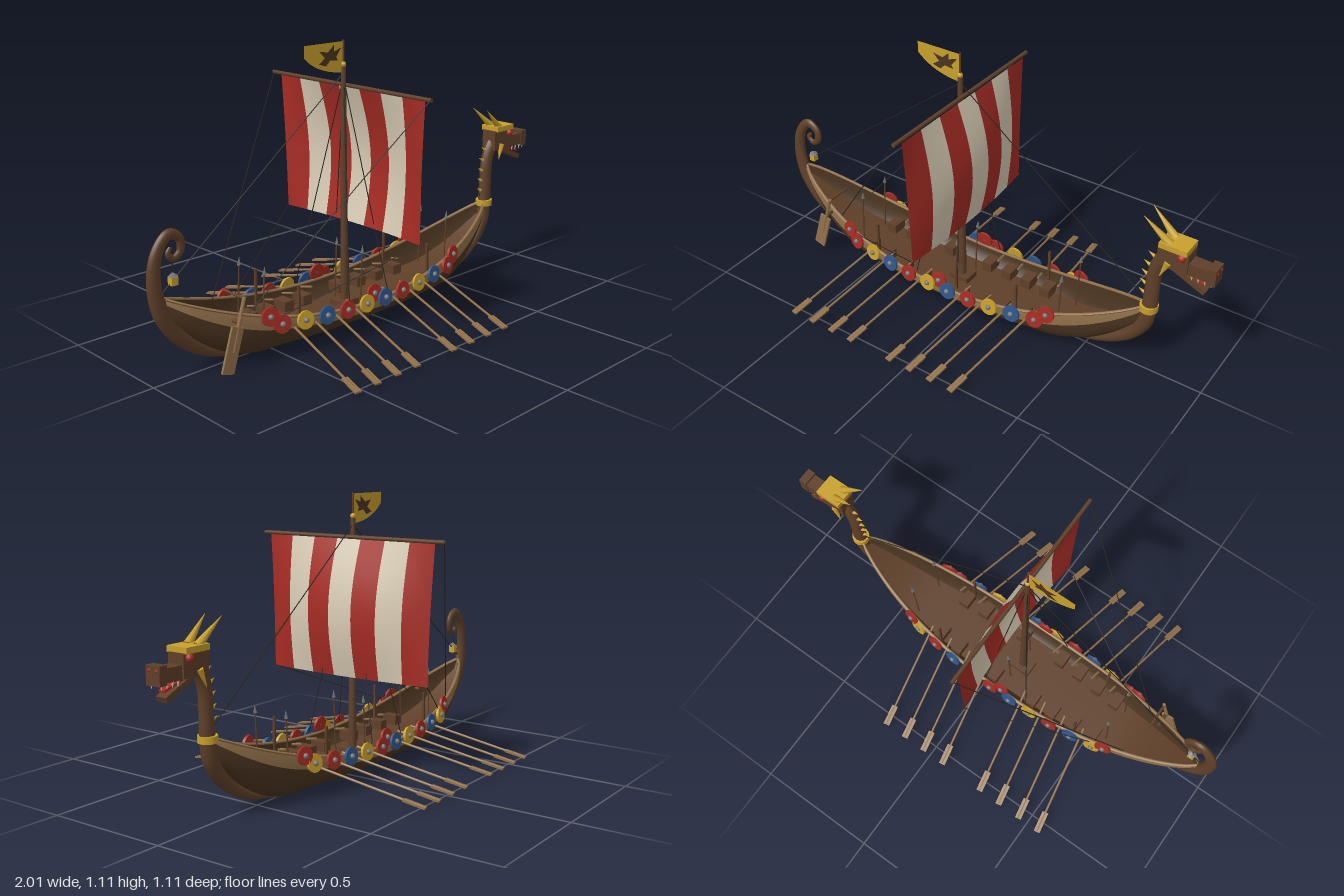
import * as THREE from 'three';

const mat = (name, color) => Object.assign(
  new THREE.MeshStandardMaterial({ color, side: THREE.DoubleSide }), { name });
const M = {
  dark: mat('dark hull wood', 0x4a3420), wood: mat('brown wood', 0x5f4029),
  light: mat('light wood', 0x92714a), red: mat('red paint', 0xa62c24),
  cream: mat('cream cloth', 0xd8ccb4), gold: mat('gold', 0xc9a02c),
  blue: mat('blue paint', 0x2f568c), metal: mat('grey metal', 0x77777a),
  rope: mat('dark rope', 0x2b2420),
};
const V = (x, y, z = 0) => new THREE.Vector3(x, y, z);

// Hull lines: sheer height, keel height, half beam
const MID = -0.1, HALF = 0.84;
const sheer = x => 0.12 + 0.27 * (x - MID) ** 2;
const keelY = x => 0.012 + 0.24 * (Math.max(0, Math.abs(x - MID) - 0.45) / 0.39) ** 2;
const beam = x => 0.008 + 0.158 * Math.max(0, 1 - Math.abs((x - MID) / HALF) ** 2.3) ** 0.8;
const hullPoint = (x, s, side, out = 0) => {
  const a = s * Math.PI / 2;
  return [x, keelY(x) + (sheer(x) - keelY(x)) * (1 - Math.cos(a)) - out * Math.cos(a) * 0.5,
    side * (beam(x) * Math.sin(a) + out)];
};

// Surface through a grid of points fn(u, v)
function grid(fn, nu, nv) {
  const pos = [], idx = [];
  for (let i = 0; i <= nu; i++) for (let j = 0; j <= nv; j++) {
    pos.push(...fn(i / nu, j / nv));
    if (i < nu && j < nv) {
      const a = i * (nv + 1) + j, b = a + nv + 1;
      idx.push(a, b, a + 1, b, b + 1, a + 1);
    }
  }
  const g = new THREE.BufferGeometry();
  g.setAttribute('position', new THREE.Float32BufferAttribute(pos, 3));
  g.setIndex(idx);
  g.computeVertexNormals();
  return g;
}

// Tapered sweep along a curve in the xy plane
function sweep(points, radii, zScale = 1, n = 40) {
  const curve = new THREE.CatmullRomCurve3(points.map(p => V(p[0], p[1])));
  return grid((u, v) => {
    const p = curve.getPoint(u), t = curve.getTangent(u);
    const f = u * (radii.length - 1), i = Math.min(Math.floor(f), radii.length - 2);
    const r = THREE.MathUtils.lerp(radii[i], radii[i + 1], f - i), a = -v * Math.PI * 2;
    return [p.x - t.y * r * Math.cos(a), p.y + t.x * r * Math.cos(a), r * zScale * Math.sin(a)];
  }, n, 12);
}

export function createModel() {
  const model = new THREE.Group();
  model.name = 'longship';
  const add = (name, geo, m, x = 0, y = 0, z = 0, parent = model) => {
    const mesh = new THREE.Mesh(geo, m);
    mesh.name = name;
    mesh.position.set(x, y, z);
    parent.add(mesh);
    return mesh;
  };
  const box = (name, w, h, d, m, x, y, z, parent) =>
    add(name, new THREE.BoxGeometry(w, h, d), m, x, y, z, parent);
  // Round bar from a to b
  const bar = (name, a, b, r1, r2, m, sides = 8) => {
    const mesh = add(name, new THREE.CylinderGeometry(r2, r1, a.distanceTo(b), sides), m);
    mesh.position.copy(a).lerp(b, 0.5);
    mesh.quaternion.setFromUnitVectors(V(0, 1), b.clone().sub(a).normalize());
    return mesh;
  };
  const rope = (a, b) => bar('rope', a, b, 0.002, 0.002, M.rope, 5);
  const along = u => MID - HALF + 2 * HALF * u;

  // Overlapping hull strakes, the top one lighter, with a rail
  for (const side of [1, -1]) {
    for (let j = 0; j < 5; j++)
      add('hullStrake', grid((u, v) => hullPoint(along(u), (j + v) / 5, side, 0.006 * (1 - v)), 48, 3),
        j === 4 ? M.light : M.dark);
    add('innerPlanking', grid((u, v) => hullPoint(along(u), 0.5 + 0.5 * v, side, -0.007), 48, 4), M.dark);
    add('gunwale', grid((u, v) => {
      const x = along(u), a = v * Math.PI * 2;
      return [x, sheer(x) + 0.006 * Math.sin(a), side * (beam(x) - 0.002 + 0.007 * Math.cos(a))];
    }, 48, 6), M.light);
  }
  add('deck', grid((u, v) => {
    const [x, y, z] = hullPoint(along(u), 0.62, 1, -0.002);
    return [x, y, z * (1 - 2 * v)];
  }, 48, 2), M.wood);
  box('keel', 1.0, 0.02, 0.014, M.dark, MID, 0.012, 0);

  // Stern post with its curl
  add('sternPost', sweep([[-0.6, 0.015], [-0.75, 0.06], [-0.88, 0.15], [-0.955, 0.26], [-0.978, 0.38],
    [-0.96, 0.48], [-0.91, 0.535], [-0.867, 0.51], [-0.866, 0.465], [-0.895, 0.445], [-0.916, 0.465],
    [-0.905, 0.487]], [0.008, 0.02, 0.03, 0.032, 0.027, 0.023, 0.02, 0.017, 0.015, 0.013, 0.011, 0.008],
  0.7, 80), M.wood);

  // Lantern
  rope(V(-0.9, 0.45), V(-0.9, 0.39));
  box('lantern', 0.026, 0.03, 0.026, M.gold, -0.9, 0.367, 0);
  add('lanternCap', new THREE.ConeGeometry(0.022, 0.016, 4), M.metal, -0.9, 0.39, 0);

  // Bow stem, neck, collar and spines
  add('neck', sweep([[0.4, 0.012], [0.56, 0.06], [0.68, 0.14], [0.74, 0.23], [0.754, 0.32], [0.757, 0.4],
    [0.762, 0.48], [0.785, 0.55], [0.83, 0.6]], [0.008, 0.018, 0.027, 0.032, 0.031, 0.029, 0.028, 0.029, 0.03],
  0.85, 60), M.wood);
  add('collar', new THREE.CylinderGeometry(0.036, 0.036, 0.026, 16), M.gold, 0.752, 0.308, 0);
  [[0.728, 0.365], [0.729, 0.41], [0.732, 0.455], [0.738, 0.5], [0.752, 0.545]].forEach(([x, y]) =>
    bar('spine', V(x, y), V(x - 0.025, y + 0.013), 0.008, 0.0005, M.gold, 6));

  // Dragon head
  box('skull', 0.12, 0.085, 0.07, M.wood, 0.835, 0.585, 0);
  box('snout', 0.12, 0.05, 0.056, M.wood, 0.93, 0.565, 0);
  box('nose', 0.034, 0.068, 0.062, M.wood, 0.983, 0.568, 0);
  box('lowerJaw', 0.14, 0.02, 0.046, M.wood, 0.9, 0.512, 0).rotation.z = -0.42;
  box('tongue', 0.11, 0.008, 0.026, M.red, 0.91, 0.527, 0).rotation.z = -0.3;
  box('brow', 0.11, 0.022, 0.09, M.gold, 0.835, 0.636, 0);
  for (const s of [1, -1]) {
    add('eye', new THREE.SphereGeometry(0.016, 12, 8), M.red, 0.87, 0.61, s * 0.037);
    add('nostril', new THREE.SphereGeometry(0.006, 8, 6), M.red, 0.998, 0.585, s * 0.016);
    bar('horn', V(0.815, 0.64, s * 0.022), V(0.712, 0.73, s * 0.038), 0.017, 0.001, M.gold);
    bar('cheekFin', V(0.82, 0.565, s * 0.034), V(0.795, 0.5, s * 0.042), 0.014, 0.001, M.gold, 6);
    for (let i = 0; i < 4; i++) {
      const x = 0.91 + i * 0.025;
      bar('tooth', V(x, 0.542, s * 0.023), V(x, 0.52, s * 0.022), 0.006, 0.0005, M.cream, 5);
    }
  }

  // Mast, yard, finial
  bar('mast', V(-0.1, 0.05), V(-0.1, 1.01), 0.017, 0.01, M.wood, 12);
  bar('flagPole', V(-0.1, 1.0), V(-0.1, 1.11), 0.004, 0.004, M.wood);
  add('finial', new THREE.SphereGeometry(0.011, 12, 8), M.gold, -0.1, 1.018, 0);
  box('mastStep', 0.09, 0.03, 0.07, M.wood, -0.1, 0.07, 0);
  bar('yard', V(-0.082, 0.937, -0.43), V(-0.082, 0.937, 0.43), 0.008, 0.008, M.wood, 10);

  // Billowing striped sail
  for (let i = 0; i < 7; i++)
    add('sailStripe', grid((u, v) => {
      const w = 1 - 2 * (i + u) / 7, sag = Math.sin(Math.PI * v);
      return [-0.073 + (1 - w * w) * (0.052 * sag + 0.022 * v) + 0.006 * v,
        0.93 - 0.545 * v, w * (0.392 - 0.022 * v - 0.004 * sag)];
    }, 4, 16), i % 2 ? M.cream : M.red);

  // Flag with a bird in flight on both faces
  const flag = new THREE.Shape([[-0.1, 1.105], [-0.295, 1.105], [-0.295, 1.06]].map(p => new THREE.Vector2(...p)));
  flag.quadraticCurveTo(-0.23, 0.995, -0.1, 0.988);
  add('flag', new THREE.ShapeGeometry(flag), M.gold);
  const bird = new THREE.Shape([[-0.225, 1.03], [-0.195, 1.05], [-0.222, 1.078], [-0.18, 1.07], [-0.15, 1.095],
    [-0.15, 1.07], [-0.112, 1.083], [-0.138, 1.05], [-0.13, 1.035], [-0.168, 1.04], [-0.19, 1.02]]
    .map(p => new THREE.Vector2(...p)));
  for (const z of [0.002, -0.002]) add('flagBird', new THREE.ShapeGeometry(bird), M.dark, 0, 0, z);

  // Rigging
  rope(V(-0.1, 0.985), V(0.73, 0.34));
  rope(V(-0.1, 0.985), V(-0.95, 0.33));
  for (const s of [1, -1]) {
    rope(V(-0.1, 0.97), V(-0.22, 0.14, s * 0.155));
    rope(V(-0.1, 0.97), V(-0.015, 0.14, s * 0.155));
    rope(V(-0.085, 0.935, s * 0.425), V(-0.67, 0.2, s * 0.1));
    rope(V(-0.065, 0.388, s * 0.37), V(-0.53, 0.18, s * 0.145));
  }

  const paints = [M.red, M.yellow ?? M.gold, M.blue];
  // Round shield with rim and boss, facing outward
  function shield(x, y, z, s, paint) {
    const g = new THREE.Group();
    g.name = 'shield';
    g.position.set(x, y, z);
    const slope = (beam(x + 0.01) - beam(x - 0.01)) / 0.02;
    g.lookAt(x - slope, y + 0.12, z + s);
    add('shieldFace', new THREE.CylinderGeometry(0.035, 0.035, 0.01, 20), paint, 0, 0, 0, g).rotation.x = Math.PI / 2;
    add('shieldBoss', new THREE.SphereGeometry(0.011, 10, 8), M.metal, 0, 0, 0.005, g);
    model.add(g);
  }

  for (const s of [1, -1]) {
    // Shield rows
    for (let i = 0; i < 10; i++) {
      const x = -0.545 + i * 0.099;
      shield(x, 0.125 + 0.12 * (x - MID) ** 2, s * (beam(x) + 0.012), s, paints[(i + (s < 0 ? 1 : 0)) % 3]);
    }
    for (const [x, y, z] of [[-0.59, 0.185, 0.136], [-0.1, 0.152, 0.165], [0.39, 0.185, 0.136]])
      shield(x, y, s * z, s, M.red);

    // Oars and rowing chests
    [-0.555, -0.46, -0.36, -0.262, -0.067, 0.032, 0.13, 0.228].forEach(xt => {
      const a = V(xt + 0.078, 0.127, s * 0.1), b = V(xt, 0.026, s * 0.548);
      bar('oarShaft', a, b, 0.005, 0.005, M.light, 6);
      const g = new THREE.Group();
      g.name = 'oarBlade';
      g.position.copy(b).lerp(a, 0.09);
      g.lookAt(b);
      box('blade', 0.026, 0.007, 0.088, M.light, 0, 0, 0, g);
      model.add(g);
      const x = xt + 0.035;
      box('rowingChest', 0.045, 0.04, 0.065, M.wood, x, 0.088 + 0.08 * (x - MID) ** 2, s * (beam(x) - 0.056));
    });

    // Spears and upright posts
    for (const [x, y] of [[-0.575, 0.08], [-0.085, 0.06], [0.405, 0.08]]) {
      const top = x === -0.085 ? 0.285 : 0.32;
      bar('spearShaft', V(x, y, s * 0.073), V(x + 0.012, top, s * 0.073), 0.003, 0.003, M.wood, 6);
      bar('spearHead', V(x + 0.012, top, s * 0.073), V(x + 0.015, top + 0.032, s * 0.073), 0.009, 0.0005, M.metal, 4);
    }
    for (const x of [-0.445, 0.245]) box('post', 0.009, 0.15, 0.009, M.wood, x, 0.187, s * 0.125);
  }

  // Steering oar and tiller
  bar('steeringShaft', V(-0.7, 0.29, 0.132), V(-0.755, 0.1, 0.132), 0.007, 0.008, M.light);
  box('steeringBlade', 0.052, 0.17, 0.01, M.light, -0.758, 0.107, 0.132).rotation.z = -0.3;
  bar('tiller', V(-0.702, 0.285, 0.135), V(-0.702, 0.285, 0.02), 0.005, 0.005, M.wood);
  bar('steeringMount', V(-0.725, 0.2, 0.132), V(-0.725, 0.2, 0.07), 0.007, 0.007, M.wood);

  return model;
}
